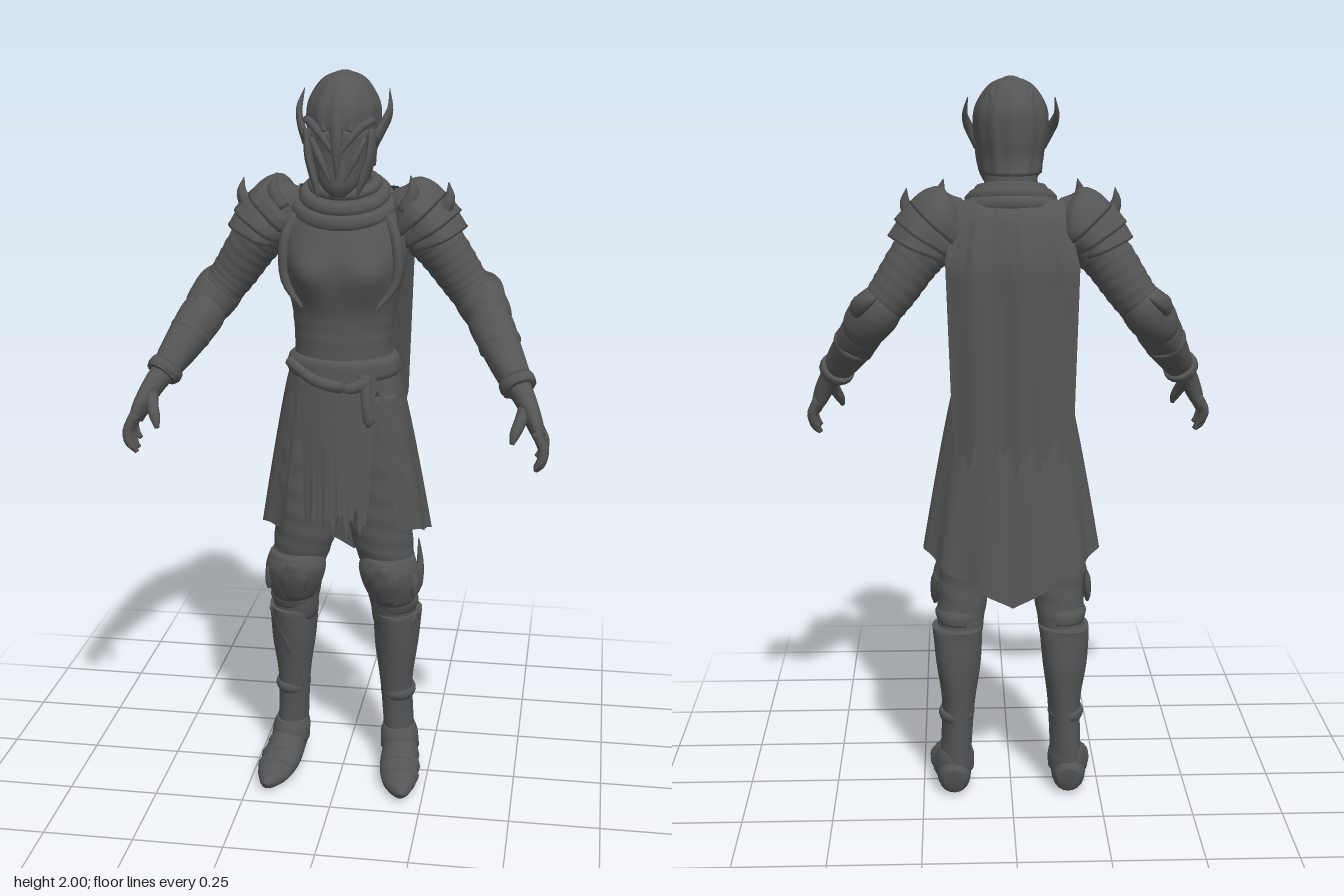
import * as THREE from 'three';
import { ParametricGeometry } from 'three/addons/geometries/ParametricGeometry.js';

const darkSteel = new THREE.MeshStandardMaterial({ color: 0x555555, side: THREE.DoubleSide });
const V = (x, y, z) => new THREE.Vector3(x, y, z);
const bump = (x, c, w) => Math.exp(-(((x - c) / w) ** 2));

export function createModel() {
  const model = new THREE.Group();
  const add = (name, geo) => {
    const m = new THREE.Mesh(geo, darkSteel);
    m.name = name;
    model.add(m);
  };

  // Tube through sections [x, y, z, width radius, depth radius]; mod(angle, t) scales the ring
  const loft = (name, secs, { n = 20, sub = 4, flat = false, caps = true, mod = () => 1 } = {}) => {
    const path = new THREE.CatmullRomCurve3(secs.map(s => V(s[0], s[1], s[2])), false, 'catmullrom', 0.5);
    const rad = new THREE.CatmullRomCurve3(secs.map(s => V(s[3], s[4] ?? s[3], 0)), false, 'catmullrom', 0.5);
    const rows = (secs.length - 1) * sub, pos = [], idx = [];
    const up = Math.sign(secs[secs.length - 1][1] - secs[0][1]) || 1;
    for (let i = 0; i <= rows; i++) {
      const t = i / rows, c = path.getPoint(t), r = rad.getPoint(t);
      const d = flat ? V(0, up, 0) : path.getTangent(t);
      const u = V(1, 0, 0).addScaledVector(d, -d.x).normalize(), w = d.clone().cross(u);
      for (let j = 0; j < n; j++) {
        const a = (j / n) * Math.PI * 2, k = mod(a, t);
        const p = c.clone().addScaledVector(u, Math.cos(a) * Math.max(r.x, 0.001) * k)
          .addScaledVector(w, Math.sin(a) * Math.max(r.y, 0.001) * k);
        pos.push(p.x, Math.max(p.y, 0), p.z);
        if (i < rows) {
          const q = i * n + j, e = i * n + (j + 1) % n;
          idx.push(q, e, q + n, e, e + n, q + n);
        }
      }
    }
    if (caps) for (const [row, s] of [[0, secs[0]], [rows, secs[secs.length - 1]]]) {
      const c = pos.length / 3;
      pos.push(s[0], s[1], s[2]);
      for (let j = 0; j < n; j++) {
        const q = row * n + j, e = row * n + (j + 1) % n;
        row ? idx.push(c, q, e) : idx.push(c, e, q);
      }
    }
    const g = new THREE.BufferGeometry();
    g.setAttribute('position', new THREE.Float32BufferAttribute(pos, 3));
    g.setIndex(idx);
    g.computeVertexNormals();
    add(name, g);
  };
  const sheet = (name, f, nu, nv) => {
    const g = new ParametricGeometry((u, v, p) => p.set(...f(u, v)), nu, nv);
    g.computeVertexNormals();
    add(name, g);
  };
  // Irregular torn edge, from 0 to 1
  const torn = u => 0.5 + 0.3 * Math.sin(u * 23) + 0.2 * Math.sin(u * 51 + 1);

  // Torso with shaped chest, neck and waist bands
  loft('torso', [[0, 1.15, -0.02, 0.15, 0.118], [0, 1.27, -0.015, 0.132, 0.112], [0, 1.36, -0.02, 0.138, 0.115],
    [0, 1.48, -0.028, 0.165, 0.142], [0, 1.57, -0.04, 0.175, 0.138], [0, 1.65, -0.05, 0.15, 0.105],
    [0, 1.7, -0.045, 0.08, 0.075]], {
    n: 56, sub: 7, flat: true,
    mod: (a, t) => 1 + 0.2 * bump(t, 0.51, 0.1) * Math.max(0, -Math.sin(a)) * bump(Math.abs(Math.cos(a)), 0.45, 0.32)
      + 0.02 * bump(t, 0.3, 0.02) + 0.02 * bump(t, 0.23, 0.02),
  });
  loft('neck', [[0, 1.64, -0.04, 0.075], [0, 1.8, -0.025, 0.068]], { flat: true });
  loft('belt', [[0, 1.195, -0.02, 0.15, 0.122], [0, 1.21, -0.02, 0.156, 0.128], [0, 1.24, -0.02, 0.152, 0.126],
    [0, 1.255, -0.02, 0.138, 0.116]], { n: 36, flat: true });
  loft('beltSash', [[-0.14, 1.235, 0.045, 0.014], [-0.06, 1.2, 0.108, 0.016], [0.03, 1.185, 0.12, 0.016],
    [0.08, 1.2, 0.108, 0.018]], { n: 10 });
  loft('beltTie', [[0.075, 1.22, 0.108, 0.018, 0.012], [0.08, 1.15, 0.124, 0.013, 0.009],
    [0.088, 1.1, 0.126, 0.016, 0.009], [0.085, 1.08, 0.126, 0.003]], { n: 10 });

  // Scarf folds around the neck
  for (const [y, rx, rz, r, dip] of [[1.65, 0.12, 0.1, 0.026, 0.035], [1.68, 0.1, 0.09, 0.024, 0.03], [1.705, 0.082, 0.076, 0.018, 0.018]]) {
    const ring = Array.from({ length: 16 }, (_, i) => {
      const a = (i / 16) * Math.PI * 2;
      return V(rx * Math.sin(a), y - dip * Math.cos(a), -0.035 + rz * Math.cos(a));
    });
    add('scarfFold', new THREE.TubeGeometry(new THREE.CatmullRomCurve3(ring, true), 48, r, 8, true));
  }

  // Helmet: ridged dome, crest and mask
  loft('helmet', [[0, 1.755, -0.04, 0.08, 0.118], [0, 1.8, -0.028, 0.085, 0.122], [0, 1.86, -0.018, 0.097, 0.135],
    [0, 1.92, -0.02, 0.094, 0.128], [0, 1.97, -0.022, 0.066, 0.094], [0, 1.992, -0.022, 0.036, 0.055], [0, 2, -0.022, 0.002]],
  { n: 64, sub: 5, flat: true, mod: a => 1 + 0.02 * Math.cos(a * 12) });
  for (const [x, w] of [[0, 0.024], [0.042, 0.014], [-0.042, 0.014]])
    loft('helmetCrest', [[x * 0.8, 1.86, 0.11, w * 0.5, 0.008], [x, 1.935, 0.08 - Math.abs(x) * 0.4, w, 0.009],
      [x, 1.986 - Math.abs(x) * 0.35, 0.015, w, 0.009], [x, 1.989 - Math.abs(x) * 0.35, -0.05, w, 0.009],
      [x, 1.945, -0.118 + Math.abs(x) * 0.3, w, 0.009], [x * 0.8, 1.85, -0.148 + Math.abs(x) * 0.3, w * 0.5, 0.006]], { n: 10 });
  loft('mask', [[0, 1.69, 0.085, 0.018, 0.014], [0, 1.72, 0.07, 0.05, 0.042], [0, 1.78, 0.045, 0.072, 0.068],
    [0, 1.86, 0.04, 0.082, 0.074]], { flat: true, n: 24 });
  loft('noseGuard', [[0, 1.9, 0.108, 0.014, 0.01], [0, 1.84, 0.118, 0.016, 0.01], [0, 1.77, 0.114, 0.008, 0.01],
    [0, 1.73, 0.11, 0.002]], { n: 8 });

  // Cape with broad folds and a torn hem
  sheet('cape', (u, v) => {
    const s = u * 2 - 1, drop = 0.59 + 0.11 * torn(u * 1.3) + 0.03 * (1 - s * s);
    const w = 0.135 + 0.045 * Math.min(1, v * 4) - 0.02 * v;
    const fold = 0.007 * Math.sin(s * 8) * Math.min(1, v * 3);
    return [s * w, 1.69 - drop * v, -0.14 - 0.065 * Math.min(1, Math.sqrt(v * 4)) - 0.015 * v + 0.035 * s * s + fold];
  }, 60, 24);

  // Skirt open at the front, its hem falling to a point behind
  sheet('skirt', (u, v) => {
    const a = 0.72 + u * (Math.PI * 2 - 1.44), b = Math.abs(a - Math.PI) / Math.PI;
    const hem = 0.765 - 0.165 * Math.pow(1 - b, 2.4) + 0.02 * torn(u * 1.6) * b;
    const e = Math.pow(v, 0.8), k = 1 + 0.03 * v * Math.cos(a * 11);
    return [Math.sin(a) * (0.142 + 0.096 * e) * k, 1.225 + (hem - 1.225) * v,
      -0.02 - 0.03 * e + Math.cos(a) * (0.117 + 0.046 * e) * k];
  }, 96, 20);
  sheet('frontTabard', (u, v) => {
    const s = u * 2 - 1, len = 0.36 + 0.1 * torn(u * 1.3) * v * v;
    return [s * (0.105 - 0.015 * v), 1.22 - len * v, 0.112 + 0.033 * v - 0.022 * s * s];
  }, 60, 16);

  // Mirrored parts
  for (const s of [1, -1]) {
    const side = s > 0 ? 'left' : 'right';
    const part = (name, secs, o) => loft(side + name, secs.map(([x, ...r]) => [x * s, ...r]), o);

    // Helmet wing, cheek plate and brow
    part('HelmetWing', [[0.088, 1.825, 0.05, 0.012, 0.028], [0.108, 1.865, 0.02, 0.01, 0.026],
      [0.12, 1.9, -0.025, 0.008, 0.018], [0.113, 1.95, -0.07, 0.001]], { n: 10 });
    part('CheekPlate', [[0.085, 1.86, 0.05, 0.012, 0.03], [0.078, 1.78, 0.06, 0.012, 0.042],
      [0.062, 1.73, 0.085, 0.01, 0.025], [0.05, 1.69, 0.102, 0.002]], { n: 12 });
    part('Brow', [[0.088, 1.885, 0.062, 0.01], [0.055, 1.865, 0.098, 0.012], [0.012, 1.81, 0.118, 0.006]], { n: 8 });
    part('MaskFin', [[0.07, 1.84, 0.085, 0.007], [0.045, 1.79, 0.102, 0.01], [0.018, 1.73, 0.108, 0.003]], { n: 8 });

    // Breastplate edge
    part('ChestEdge', [[0.125, 1.63, 0.02, 0.014], [0.15, 1.56, 0.05, 0.014], [0.148, 1.46, 0.055, 0.012],
      [0.1, 1.39, 0.075, 0.006]], { n: 8 });

    // Shoulder plates
    const lames = [[0.12, 1.675, 0.195, 1.615, 0.05, 0.094], [0.17, 1.645, 0.23, 1.585, 0.062, 0.09], [0.205, 1.615, 0.25, 1.56, 0.06, 0.08]];
    for (const [x0, y0, x1, y1, r0, r1] of lames)
      part('ShoulderPlate', [[x0, y0, -0.065, r0 * 0.4], [x0 + 0.02, y0 - 0.015, -0.065, r0 * 1.1, r0 * 1.3],
        [(x0 + x1) / 2 + 0.01, (y0 + y1) / 2, -0.067, r1 * 0.93, r1 * 1.08], [x1, y1, -0.068, r1, r1 * 1.2]],
      { n: 28, mod: (a, t) => 1 + 0.05 * t * Math.cos(a * 5) });
    part('ShoulderFin', [[0.165, 1.64, 0.005, 0.024], [0.186, 1.69, 0.005, 0.017], [0.178, 1.735, -0.005, 0.001]], { n: 8 });
    part('ShoulderSpike', [[0.245, 1.62, -0.03, 0.03, 0.022], [0.278, 1.67, -0.03, 0.016], [0.275, 1.715, -0.04, 0.001]], { n: 8 });

    // Arm with wrapped sleeve, elbow plate and bracer
    part('UpperArm', [[0.18, 1.61, -0.06, 0.075], [0.25, 1.54, -0.075, 0.07], [0.32, 1.44, -0.085, 0.062], [0.375, 1.37, -0.07, 0.055]],
      { sub: 12, mod: (a, t) => 1 + 0.02 * Math.sin(t * 75 + a) });
    part('ElbowPlate', [[0.335, 1.43, -0.085, 0.054], [0.355, 1.4, -0.085, 0.066], [0.385, 1.36, -0.065, 0.064], [0.4, 1.335, -0.045, 0.055]]);
    part('ElbowSpike', [[0.405, 1.36, -0.02, 0.015, 0.03], [0.415, 1.395, -0.075, 0.016, 0.032],
      [0.4, 1.42, -0.14, 0.015, 0.028], [0.375, 1.435, -0.18, 0.01, 0.016], [0.35, 1.45, -0.207, 0.001]], { n: 10 });
    part('Bracer', [[0.375, 1.37, -0.06, 0.05], [0.4, 1.33, -0.03, 0.06], [0.44, 1.265, 0.03, 0.052], [0.475, 1.21, 0.08, 0.042],
      [0.485, 1.195, 0.093, 0.046]], { sub: 6, mod: (a, t) => 1 + 0.03 * Math.cos(a * 4 + t * 6) });
    for (const t of [0.3, 0.9]) {
      const c = [0.39 + 0.09 * t, 1.345 - 0.145 * t, -0.045 + 0.13 * t], r = 0.06 - 0.014 * t;
      part('BracerBand', [[...c, r], [c[0] + 0.008, c[1] - 0.012, c[2] + 0.011, r * 1.06], [c[0] + 0.014, c[1] - 0.022, c[2] + 0.02, r * 0.9]], { sub: 2 });
    }

    // Hand
    part('Palm', [[0.478, 1.205, 0.085, 0.034], [0.505, 1.165, 0.118, 0.028, 0.038], [0.53, 1.115, 0.148, 0.022, 0.046], [0.542, 1.085, 0.16, 0.016, 0.043]]);
    for (let i = 0; i < 4; i++) {
      const z = 0.122 + i * 0.024, l = [0.08, 0.1, 0.105, 0.09][i];
      part('Finger', [[0.535, 1.11, z, 0.014], [0.555, 1.105 - l * 0.45, z + 0.007, 0.0135],
        [0.55, 1.105 - l * 0.8, z + 0.012, 0.012], [0.535, 1.105 - l, z + 0.014, 0.006]], { n: 8 });
    }
    part('Thumb', [[0.505, 1.16, 0.13, 0.02], [0.493, 1.13, 0.168, 0.017], [0.48, 1.1, 0.19, 0.014], [0.473, 1.075, 0.2, 0.006]], { n: 8 });

    // Leg, knee armour and greave
    part('Thigh', [[0.085, 1.15, -0.02, 0.075, 0.09], [0.105, 0.9, -0.015, 0.092, 0.09], [0.108, 0.74, -0.01, 0.088, 0.082],
      [0.13, 0.62, -0.015, 0.074, 0.07], [0.145, 0.46, -0.035, 0.062, 0.068]],
    { flat: true, sub: 10, mod: (a, t) => 1 + 0.015 * Math.sin(t * 60 + a * 2) });
    part('KneePlate', [[0.13, 0.675, 0.01, 0.072, 0.066], [0.132, 0.635, 0.015, 0.082, 0.076], [0.138, 0.585, 0.01, 0.076, 0.07],
      [0.142, 0.535, 0, 0.058, 0.06]], { flat: true, n: 24, mod: a => 1 + 0.04 * Math.cos(a * 4) });
    part('KneePoint', [[0.135, 0.55, 0.05, 0.03, 0.02], [0.13, 0.615, 0.075, 0.042, 0.024], [0.128, 0.665, 0.1, 0.012, 0.01]], { n: 10 });
    part('KneeWing', [[0.205, 0.6, 0.05, 0.01, 0.034], [0.214, 0.6, -0.02, 0.012, 0.042],
      [0.21, 0.615, -0.085, 0.01, 0.038], [0.203, 0.64, -0.13, 0.006, 0.018], [0.198, 0.668, -0.15, 0.001]], { n: 10 });
    part('KneeStrap', [[0.143, 0.55, -0.02, 0.06, 0.068], [0.145, 0.53, -0.025, 0.068, 0.074], [0.146, 0.505, -0.03, 0.06, 0.07]], { flat: true });
    part('Greave', [[0.15, 0.495, -0.042, 0.07, 0.084], [0.15, 0.475, -0.043, 0.069, 0.084], [0.15, 0.38, -0.05, 0.062, 0.078],
      [0.15, 0.27, -0.052, 0.047, 0.064], [0.155, 0.15, -0.055, 0.044, 0.055], [0.16, 0.06, -0.055, 0.046, 0.055]],
    { flat: true, n: 28, mod: (a, t) => 1 + 0.03 * Math.cos(a * 3 + t * 7) });
    part('GreaveRidge', [[0.205, 0.49, -0.005, 0.012], [0.165, 0.41, 0.02, 0.012], [0.135, 0.31, 0.005, 0.01], [0.12, 0.24, -0.01, 0.004]], { n: 8 });
    part('AnkleCuff', [[0.155, 0.25, -0.052, 0.046, 0.06], [0.155, 0.235, -0.052, 0.051, 0.064], [0.155, 0.22, -0.053, 0.046, 0.058]], { flat: true, sub: 2 });
    part('AnklePlate', [[0.158, 0.125, -0.05, 0.046, 0.055], [0.16, 0.1, -0.045, 0.054, 0.064], [0.163, 0.06, -0.04, 0.056, 0.068]], { flat: true });

    // Pointed shoe with overlapping toe plates, soles flat on the ground
    part('Shoe', [[0.163, 0.045, -0.115, 0.03, 0.035], [0.163, 0.05, -0.09, 0.045, 0.052], [0.166, 0.052, -0.02, 0.052, 0.055],
      [0.173, 0.038, 0.06, 0.056, 0.042], [0.182, 0.028, 0.13, 0.048, 0.03], [0.19, 0.025, 0.18, 0.024, 0.02], [0.193, 0.032, 0.207, 0.002]]);
    for (const [z, y, w, h] of [[0, 0.05, 0.055, 0.056], [0.05, 0.042, 0.058, 0.046], [0.095, 0.036, 0.055, 0.038]])
      part('ToePlate', [[0.168 + z * 0.1, y, z - 0.02, w * 0.9, h * 0.95], [0.17 + z * 0.1, y - 0.003, z + 0.005, w, h * 0.96],
        [0.172 + z * 0.1, y - 0.004, z + 0.025, w * 0.9, h * 0.85]], { sub: 2 });
  }
  return model;
}
